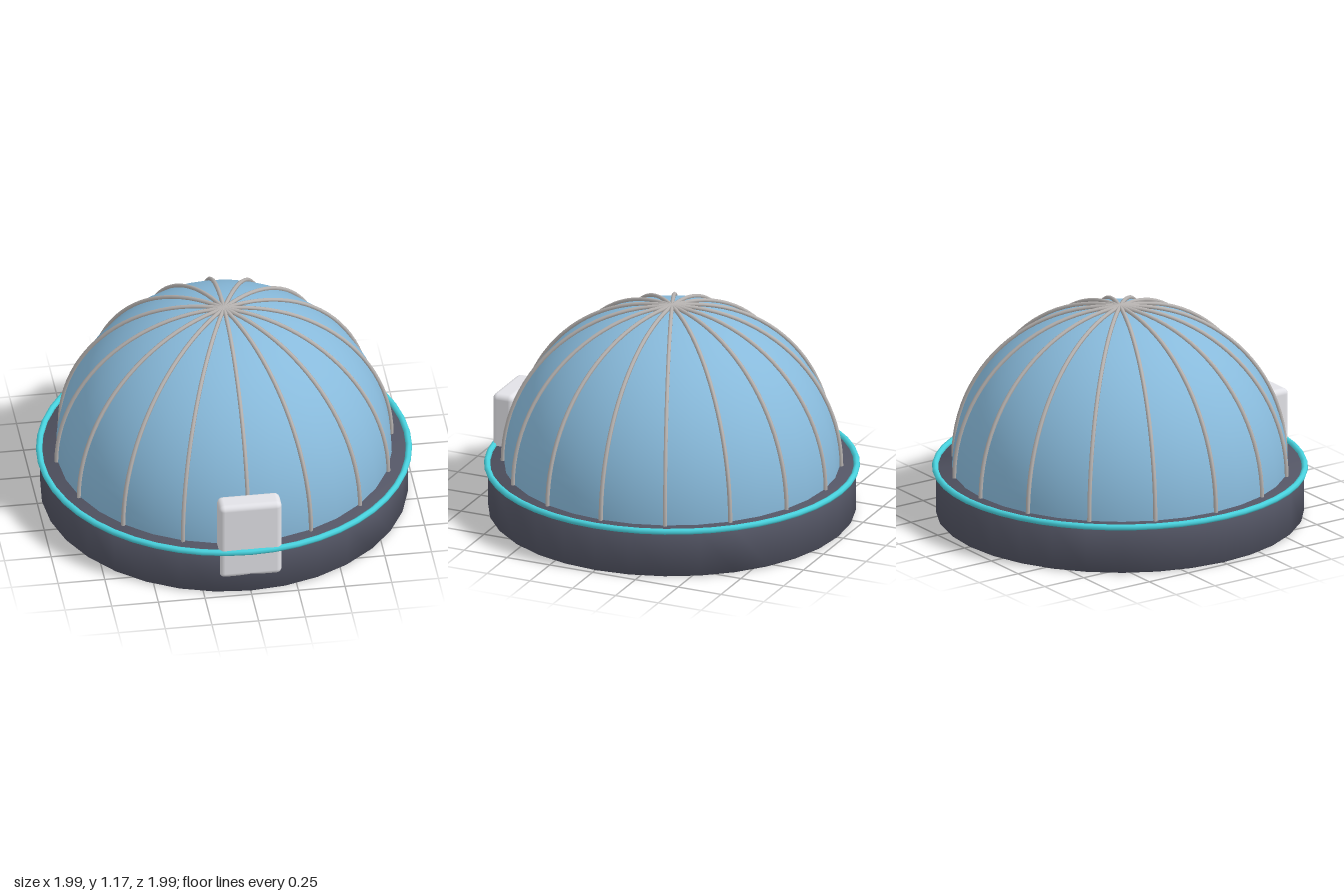
import * as THREE from 'three';
import { toCreasedNormals } from 'three/addons/utils/BufferGeometryUtils.js';
import { RoundedBoxGeometry } from 'three/addons/geometries/RoundedBoxGeometry.js';

const RIM_Y = 0.26;      // height where the dome meets the base
const RIB_COUNT = 16;

function material(name, color) {
  const m = new THREE.MeshStandardMaterial({ color });
  m.name = name;
  return m;
}

function part(name, geometry, mat) {
  const mesh = new THREE.Mesh(geometry, mat);
  mesh.name = name;
  return mesh;
}

export function createModel() {
  const slate = material('dark slate', 0x525463);
  const glass = material('dome blue', 0x88badb);
  const metal = material('rib grey', 0xb8b4b2);
  const teal = material('rim teal', 0x48d2de);
  const pale = material('panel grey', 0xe2e2e7);

  const model = new THREE.Group();
  model.name = 'ribbedDome';

  // Round base with a small bevel
  const profile = [
    [0, 0], [0.965, 0], [0.975, 0.01], [0.975, RIM_Y - 0.01], [0.965, RIM_Y], [0, RIM_Y],
  ].map(([x, y]) => new THREE.Vector2(x, y));
  model.add(part('base', toCreasedNormals(new THREE.LatheGeometry(profile, 32), 0.9), slate));

  // Hemispherical shell
  const dome = part('dome',
    new THREE.SphereGeometry(0.89, 32, 24, 0, Math.PI * 2, 0, Math.PI / 2), glass);
  dome.position.y = RIM_Y;
  model.add(dome);

  // Bright band around the top edge of the base
  const rim = part('rimBand', new THREE.TorusGeometry(0.98, 0.017, 8, 48), teal);
  rim.rotation.x = Math.PI / 2;
  rim.position.y = RIM_Y;
  model.add(rim);

  // Ribs: quarter arcs from the base to the crown
  const ribs = new THREE.Group();
  ribs.name = 'ribs';
  const ribGeometry = new THREE.TorusGeometry(0.897, 0.0115, 6, 24, Math.PI / 2);
  for (let i = 0; i < RIB_COUNT; i++) {
    const rib = part('rib', ribGeometry, metal);
    rib.rotation.y = (i / RIB_COUNT) * Math.PI * 2;
    ribs.add(rib);
  }
  ribs.position.y = RIM_Y;
  model.add(ribs);

  // Rounded panel set into the front
  const panel = part('frontPanel', new RoundedBoxGeometry(0.335, 0.455, 0.125, 4, 0.03), pale);
  panel.position.set(0, 0.3245, 0.9145);
  model.add(panel);

  return model;
}
